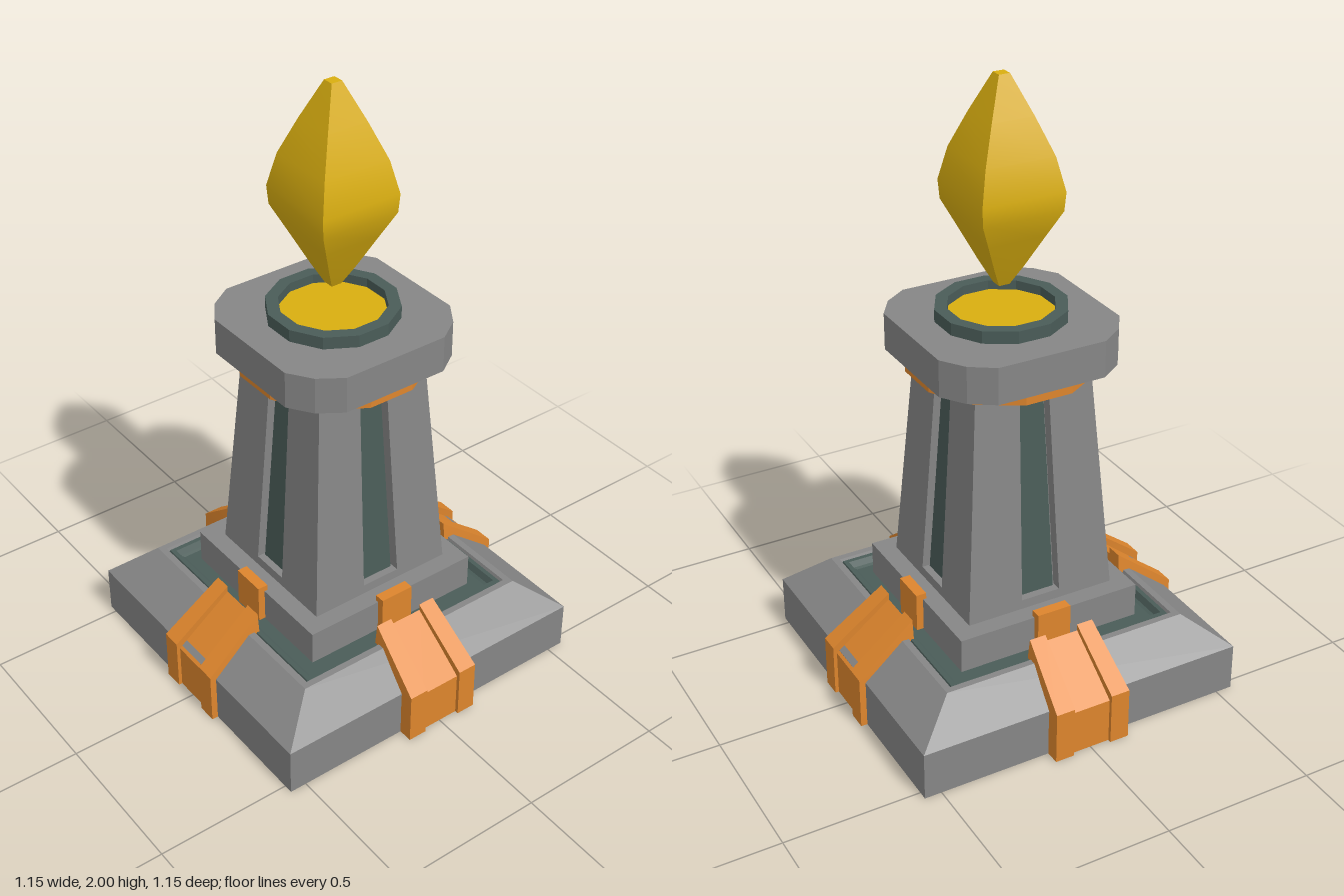
import * as THREE from 'three';
import { toCreasedNormals } from 'three/addons/utils/BufferGeometryUtils.js';

const mat = (name, color, side = THREE.FrontSide) =>
  Object.assign(new THREE.MeshStandardMaterial({ color, side }), { name });

export function createModel() {
  const stone = mat('stone grey', 0x868686, THREE.DoubleSide);
  const slate = mat('slate green', 0x4a5c58, THREE.DoubleSide);
  const copper = mat('copper orange', 0xdd852d);
  const gold = mat('flame gold', 0xd9ae10);
  const model = new THREE.Group();
  model.name = 'brazierPillar';

  const add = (parent, name, geometry, material, crease = 0.2) => {
    const mesh = new THREE.Mesh(toCreasedNormals(geometry, crease), material);
    mesh.name = name;
    parent.add(mesh);
    return mesh;
  };
  // Square or many-sided turned form; profile holds [apothem, y], flats face the axes
  const turned = (profile, sides) => new THREE.LatheGeometry(
    profile.map(([r, y]) => new THREE.Vector2(r / Math.cos(Math.PI / sides), y)),
    sides, Math.PI / sides);
  const bend = (geometry, rule) => {
    const p = geometry.attributes.position, v = new THREE.Vector3();
    for (let i = 0; i < p.count; i++) {
      rule(v.fromBufferAttribute(p, i));
      p.setXYZ(i, v.x, v.y, v.z);
    }
    return geometry;
  };
  const shapeOf = pts => new THREE.Shape(pts.map(([x, y]) => new THREE.Vector2(x, y)));
  const extrude = (shape, depth) =>
    new THREE.ExtrudeGeometry(shape, { depth, bevelEnabled: false });
  const trapezoid = (w0, y0, w1, y1) => [[-w0, y0], [w0, y0], [w1, y1], [-w1, y1]];

  // Hollow plinth, slightly deeper than wide at the foot
  add(model, 'plinth', bend(
    turned([[0.53, 0], [0.53, 0.16], [0.42, 0.265], [0.398, 0.265], [0.392, 0.25]], 4),
    v => { if (v.y < 0.2) v.z *= 0.556 / 0.53; }), stone);
  add(model, 'plinthTray', turned(
    [[0.395, 0.245], [0.39, 0.26], [0.375, 0.26], [0.365, 0.24], [0.355, 0.236], [0.3, 0.236]], 4), slate);
  add(model, 'pedestal', new THREE.BoxGeometry(0.63, 0.115, 0.63).translate(0, 0.2925, 0), stone);

  // Tapered column: solid core, with a pierced wall on each side
  const half = y => 0.255 - (y - 0.35) * 0.0743;
  add(model, 'columnCore', turned([[half(0.35) - 0.035, 0.35], [half(1.1) - 0.035, 1.1]], 4), stone);
  const lean = g => bend(g, v => { v.z += half(v.y); });

  for (let i = 0; i < 4; i++) {
    const side = new THREE.Group();
    side.name = 'side' + (i + 1);
    side.rotation.y = i * Math.PI / 2;
    model.add(side);

    const wall = shapeOf(trapezoid(half(0.35), 0.35, half(1.1), 1.1));
    wall.holes.push(shapeOf(trapezoid(0.067, 0.38, 0.05, 1.08)));
    add(side, 'columnWall', lean(extrude(wall, 0.035).translate(0, 0, -0.035)), stone);
    add(side, 'columnInset',
      lean(extrude(shapeOf(trapezoid(0.056, 0.385, 0.042, 1.03)), 0.016).translate(0, 0, -0.036)), slate);

    // Bracket hugging the plinth: a channel plate between two raised rails
    const bracket = (name, x0, x1, out, top) => {
      const profile = shapeOf([[0.515, 0], [out, 0], [out, top - 0.15], [0.38, top], [0.38, 0.255], [0.515, 0.13]]);
      const g = extrude(profile, x1 - x0).rotateY(-Math.PI / 2).translate(x1, 0, 0);
      add(side, name, bend(g, v => {
        v.x *= 1 - 0.14 * THREE.MathUtils.clamp((v.y - 0.17) / 0.15, 0, 1);
      }), copper);
    };
    bracket('bracketPlate', -0.068, 0.068, 0.565, 0.302);
    bracket('bracketRailLeft', 0.066, 0.13, 0.577, 0.325);
    bracket('bracketRailRight', -0.13, -0.066, 0.577, 0.325);

    add(side, 'pedestalClasp',
      new THREE.BoxGeometry(0.116, 0.13, 0.035).translate(0, 0.305, 0.321), copper);
  }

  // Collar and chamfered head
  add(model, 'collar',
    turned([[0, 1.09], [0.29, 1.09], [0.29, 1.127], [0, 1.127]], 12), copper);
  const head = [];
  for (let i = 0; i < 4; i++) {
    const c = [1, 0, -1, 0][i], s = [0, 1, 0, -1][i];
    for (const [x, y] of [[0.307, -0.18], [0.307, 0.18], [0.256, 0.256]])
      head.push([x * c - y * s, x * s + y * c]);
  }
  add(model, 'head', extrude(shapeOf(head), 0.12).rotateX(-Math.PI / 2).translate(0, 1.125, 0), stone);

  // Fire bowl
  add(model, 'bowlRim',
    turned([[0.2, 1.24], [0.2, 1.285], [0.162, 1.285], [0.162, 1.24]], 12), slate);
  add(model, 'bowlGlow', turned([[0.163, 1.24], [0.163, 1.255], [0, 1.255]], 12), gold);

  // Floating four-sided flame, smooth along its height
  add(model, 'flame', turned([[0, 1.35], [0.018, 1.35], [0.05, 1.415], [0.095, 1.515], [0.134, 1.6],
    [0.138, 1.66], [0.115, 1.765], [0.07, 1.88], [0.018, 2], [0, 2]], 4), gold, 0.7);
  return model;
}
